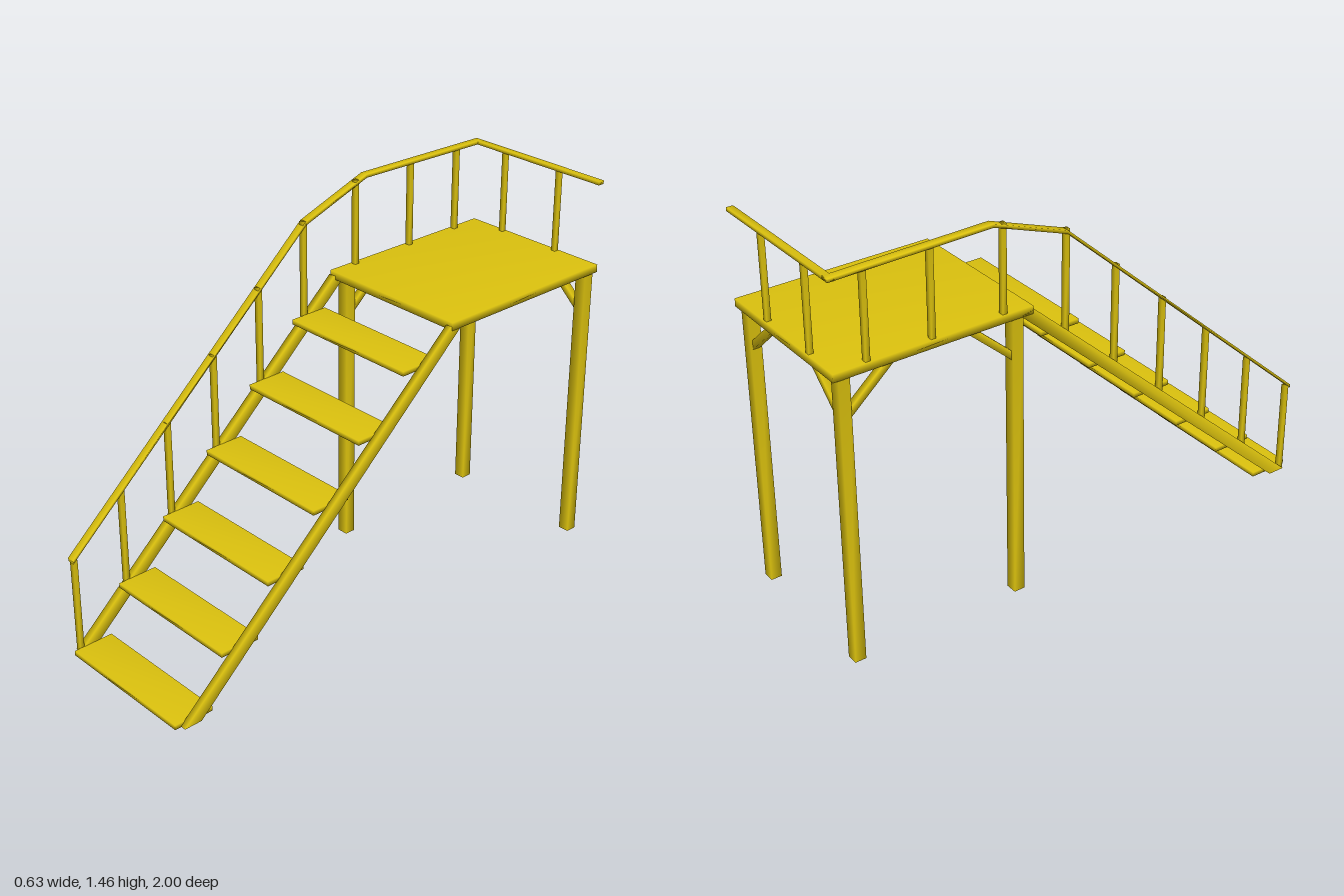
import * as THREE from 'three';
import { mergeVertices } from 'three/addons/utils/BufferGeometryUtils.js';

export function createModel() {
  const model = new THREE.Group();
  model.name = 'platformStairs';
  const yellow = new THREE.MeshStandardMaterial({ color: 0xdcc20e });

  // Shared corners give the soft shading across each bar
  function add(name, geometry) {
    geometry.deleteAttribute('normal');
    geometry.deleteAttribute('uv');
    const g = mergeVertices(geometry, 1e-5);
    g.computeVertexNormals();
    const mesh = new THREE.Mesh(g, yellow);
    mesh.name = name;
    model.add(mesh);
    return mesh;
  }

  // Box given by its limits on each axis
  function box(name, [x0, x1], [y0, y1], [z0, z1]) {
    const mesh = add(name, new THREE.BoxGeometry(x1 - x0, y1 - y0, z1 - z0));
    mesh.position.set((x0 + x1) / 2, (y0 + y1) / 2, (z0 + z1) / 2);
  }

  // Square bar between two points
  function bar(name, from, to, size) {
    const a = new THREE.Vector3(...from), b = new THREE.Vector3(...to);
    const mesh = add(name, new THREE.BoxGeometry(size, size, a.distanceTo(b)));
    mesh.position.copy(a).add(b).multiplyScalar(0.5);
    mesh.lookAt(b);
  }

  // Side profile of [z, y] points, extruded from x0 to x1
  function plate(name, points, x0, x1) {
    const shape = new THREE.Shape(points.map(([z, y]) => new THREE.Vector2(z, y)));
    const g = new THREE.ExtrudeGeometry(shape, { depth: x1 - x0, bevelEnabled: false });
    g.rotateY(-Math.PI / 2).translate(x1, 0, 0);
    add(name, g);
  }

  // Platform and its three legs; the stairs carry the fourth corner
  box('platform', [-0.31, 0.315], [1.095, 1.125], [-1, -0.24]);
  for (const [x, z] of [[-0.286, -0.3], [-0.286, -0.96], [0.289, -0.96]]) {
    box('leg', [x - 0.022, x + 0.022], [0, 1.1], [z - 0.021, z + 0.021]);
  }

  // Diagonal braces under the platform
  bar('brace', [-0.286, 0.95, -0.31], [-0.286, 1.11, -0.49], 0.026);
  bar('brace', [-0.286, 0.95, -0.95], [-0.286, 1.11, -0.77], 0.026);
  for (const s of [-1, 1]) bar('brace', [s * 0.28, 0.95, -0.96], [s * 0.1, 1.11, -0.96], 0.026);

  // Stringers
  const slope = [[0.975, 0.022], [0.905, 0.022], [-0.29, 1.1], [-0.235, 1.11]];
  plate('stringer', slope, -0.31, -0.283);
  plate('stringer', slope, 0.288, 0.312);

  // Treads, each with a baluster on the railing side
  for (let i = 0; i < 6; i++) {
    const z = 0.92 - i * 0.206, y = 0.02 + i * 0.1922;
    box('tread', [-0.284, 0.29], [y, y + 0.018], [z - 0.079, z + 0.079]);
    const p = 0.966 - i * 0.2125;
    box('baluster', [-0.305, -0.285], [y, y + 0.377], [p - 0.009, p + 0.009]);
  }

  // Platform balusters along the side and the back
  for (const z of [-0.35, -0.627, -0.87]) {
    box('baluster', [-0.305, -0.285], [1.11, 1.45], [z - 0.009, z + 0.009]);
  }
  for (const x of [-0.15, 0.117]) {
    box('baluster', [x - 0.009, x + 0.009], [1.1, 1.447], [-0.996, -0.978]);
  }

  // Handrails
  const path = [[0.976, 0.402], [-0.1, 1.357], [-0.395, 1.463], [-1, 1.453]];
  const lower = path.map(([z, y]) => [z, y - 0.013]).reverse();
  plate('sideHandrail', [...path, ...lower], -0.313, -0.283);
  box('backHandrail', [-0.313, 0.317], [1.44, 1.453], [-1, -0.974]);

  return model;
}
